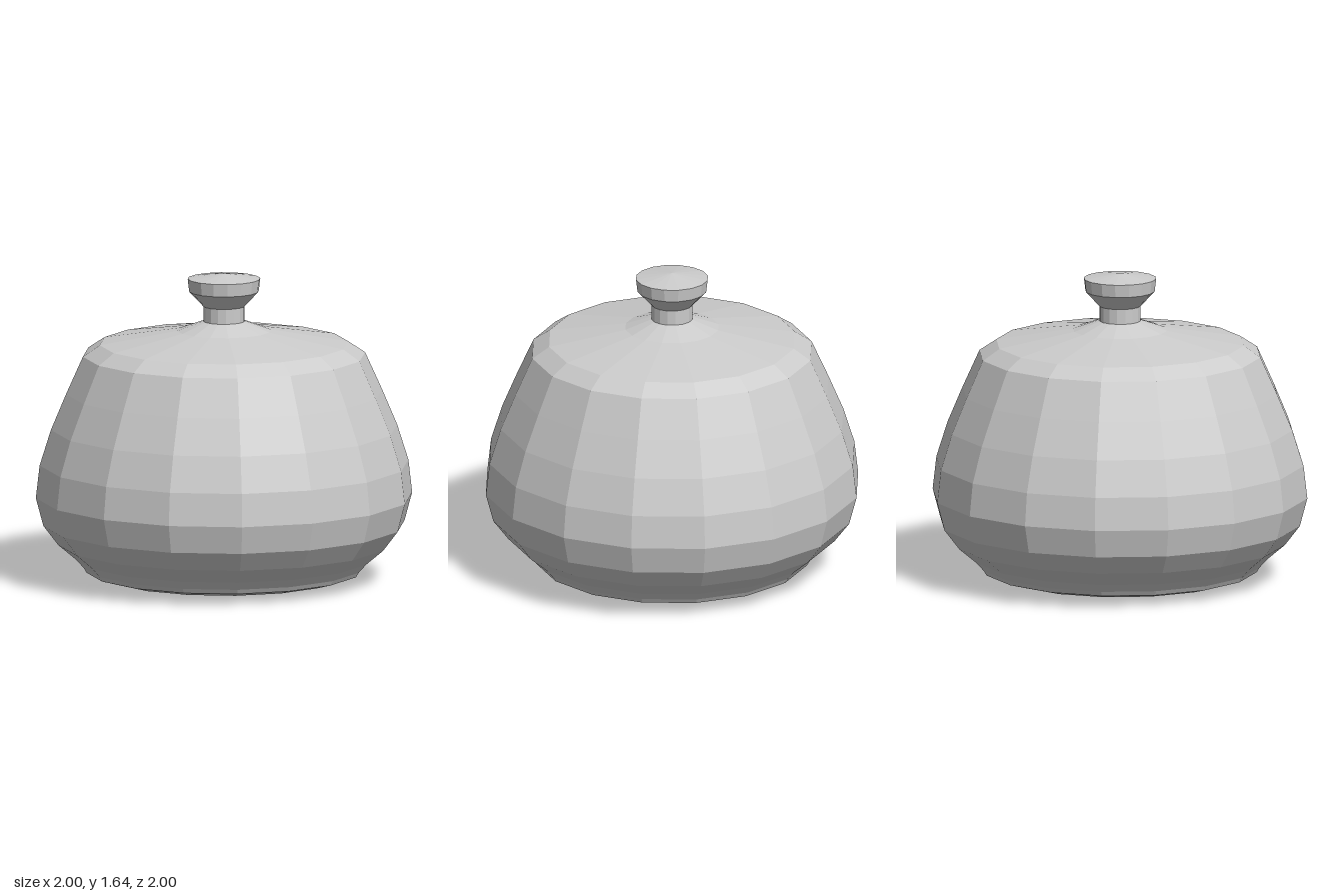
import * as THREE from 'three';

const SIDES = 16;

// Faceted solid of revolution from [radius, height] pairs, bottom to top
function turned(name, profile, material) {
  const points = profile.map(([r, y]) => new THREE.Vector2(r, y));
  const mesh = new THREE.Mesh(new THREE.LatheGeometry(points, SIDES), material);
  mesh.name = name;
  return mesh;
}

export function createModel() {
  const group = new THREE.Group();
  group.name = 'liddedPot';
  const material = new THREE.MeshStandardMaterial({ color: 0xcccccc, flatShading: true });

  // Slightly domed foot
  group.add(turned('base', [[0, 0], [0.4, 0.01], [0.64, 0.025], [0.73, 0.05]], material));

  // Bulging bowl, widest low down
  group.add(turned('bowl', [
    [0.73, 0.05], [0.745, 0.075], [0.785, 0.12], [0.88, 0.2], [0.96, 0.305], [1, 0.455],
    [0.98, 0.63], [0.92, 0.82], [0.84, 1.01], [0.75, 1.21],
  ], material));

  // Bevelled shoulder and shallow lid rising to the knob
  group.add(turned('lid', [[0.75, 1.21], [0.66, 1.27], [0.25, 1.34], [0.11, 1.39]], material));

  // Flared knob with a low conical cap
  group.add(turned('knob', [
    [0.11, 1.39], [0.11, 1.47], [0.185, 1.55], [0.193, 1.618], [0, 1.645],
  ], material));

  return group;
}
